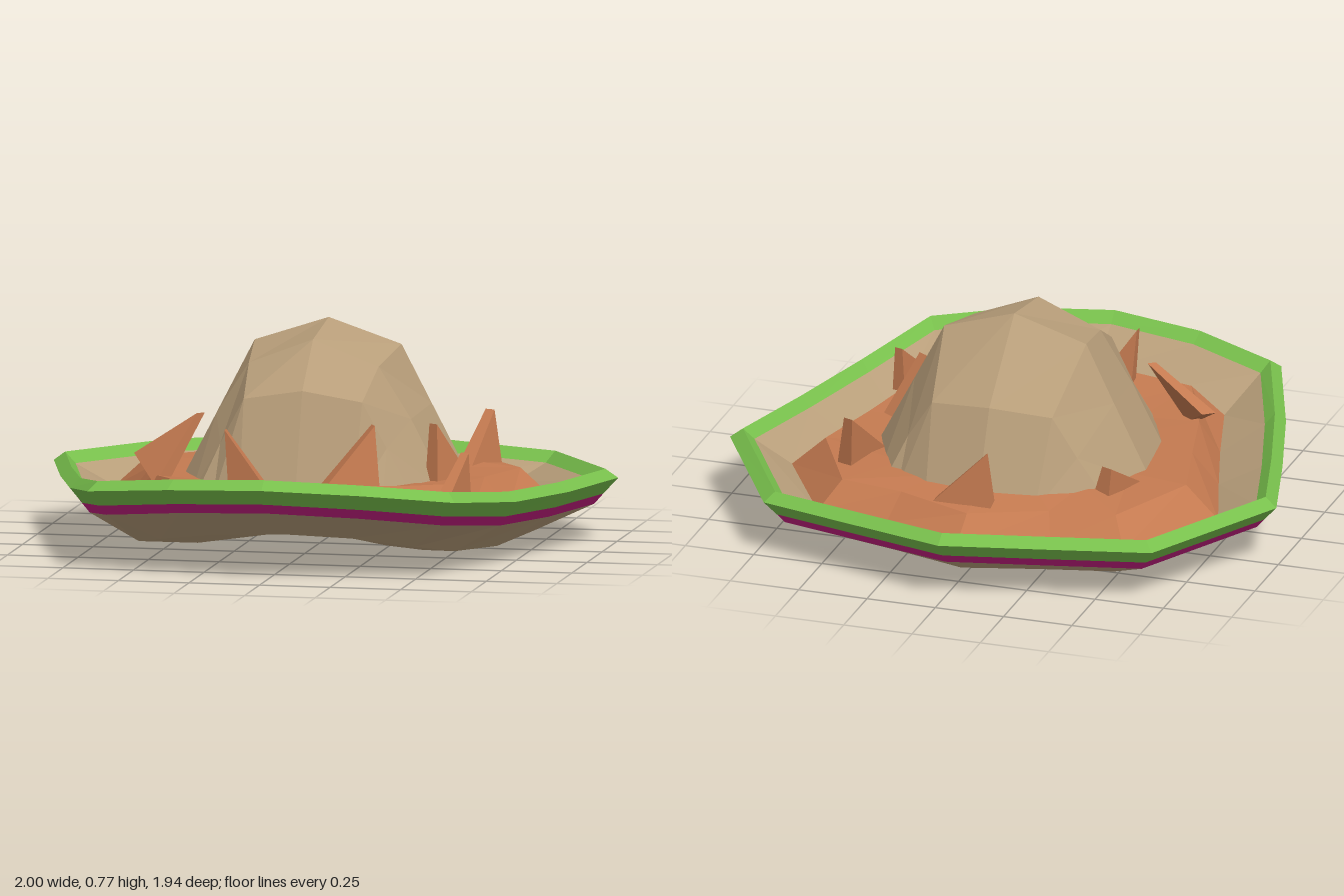
import * as THREE from 'three';
import { ConvexGeometry } from 'three/addons/geometries/ConvexGeometry.js';

const paint = (name, color) => Object.assign(new THREE.MeshStandardMaterial({ color }), { name });

// Joins successive rows of points with flat facets
function loft(rows, closed) {
  const pos = [];
  for (let i = 0; i + 1 < rows.length; i++) {
    const a = rows[i], b = rows[i + 1], n = a.length;
    for (let j = 0; j < (closed ? n : n - 1); j++) {
      const k = (j + 1) % n;
      pos.push(...a[j], ...b[j], ...a[k], ...a[k], ...b[j], ...b[k]);
    }
  }
  const g = new THREE.BufferGeometry();
  g.setAttribute('position', new THREE.Float32BufferAttribute(pos, 3));
  g.computeVertexNormals();
  return g;
}

const flip = ([x, y, z]) => [-x, y, z];
// Half outline from back to front along +x, mirrored into a closed loop
const ring = half => [...half, ...half.slice(1, -1).reverse().map(flip)];
// Half row from the centre line outwards, mirrored into a full row
const row = half => [...half.slice(1).reverse().map(flip), ...half];
const inset = (loop, s, dy) => loop.map(([x, y, z]) => [x * s, y + dy, z * s]);

export function createModel() {
  const hat = new THREE.Group();
  hat.name = 'hat';
  const felt = paint('tan felt', 0xb89e7a);
  const cloth = paint('rust cloth', 0xc47a50);
  const green = paint('green trim', 0x78c04c);
  const pink = paint('magenta stripe', 0xc41e80);
  const add = (name, geometry, material, parent = hat) => {
    const m = new THREE.Mesh(geometry, material);
    m.name = name;
    parent.add(m);
  };

  // Widest edge of the brim, and the trim rings derived from it
  const edge = ring([[0, 0.22, -0.97], [0.355, 0.212, -0.865], [0.71, 0.205, -0.76], [1, 0.22, -0.27],
    [0.9, 0.22, 0.09], [0.79, 0.235, 0.45], [0.65, 0.28, 0.81], [0.345, 0.31, 0.92], [0, 0.325, 0.97]]);
  const ridge = inset(edge, 0.957, 0.032);
  const lip = inset(edge, 0.918, -0.006);
  const trimBottom = inset(edge, 0.95, -0.055);
  const stripeBottom = inset(edge, 0.92, -0.09);

  // Underside of the brim, hollowed upwards towards the front
  const underOuter = ring([[0, 0.04, -0.72], [0.26, 0.038, -0.64], [0.51, 0.035, -0.57], [0.7, 0.025, -0.27],
    [0.65, 0.025, 0.1], [0.56, 0.045, 0.38], [0.45, 0.08, 0.54], [0.24, 0.11, 0.59], [0, 0.122, 0.62]]);
  const underInner = ring([[0, 0.03, -0.4], [0.15, 0.025, -0.37], [0.3, 0.012, -0.34], [0.45, 0, -0.2],
    [0.45, 0, 0], [0.4, 0.01, 0.15], [0.3, 0.045, 0.3], [0.15, 0.08, 0.35], [0, 0.1, 0.38]]);
  const underCentre = edge.map(() => [0, 0.045, -0.05]);

  // Upper brim down to the foot of the band
  const foot = ring([[0, 0.14, -0.78], [0.3, 0.14, -0.645], [0.56, 0.14, -0.62], [0.78, 0.14, -0.25],
    [0.68, 0.14, 0.05], [0.6, 0.15, 0.3], [0.52, 0.17, 0.58], [0.25, 0.2, 0.64], [0, 0.21, 0.71]]);
  const floor = edge.map(() => [0, 0.12, -0.05]);

  add('brimUnderside', loft([underCentre, underInner, underOuter, stripeBottom], true), felt);
  add('brimStripe', loft([stripeBottom, trimBottom], true), pink);
  add('brimTrim', loft([trimBottom, edge, ridge, lip], true), green);
  add('brimTop', loft([lip, foot, floor], true), felt);

  // Rough cloth band around the crown
  const bandTop = ring([[0, 0.22, -0.66], [0.27, 0.23, -0.57], [0.5, 0.23, -0.53], [0.66, 0.25, -0.24],
    [0.59, 0.255, 0.03], [0.53, 0.265, 0.28], [0.42, 0.29, 0.52], [0.2, 0.29, 0.57], [0, 0.3, 0.61]]);
  const bandInner = ring([[0, 0.26, -0.5], [0.18, 0.26, -0.46], [0.33, 0.26, -0.38], [0.44, 0.25, -0.2],
    [0.44, 0.25, 0.02], [0.38, 0.25, 0.18], [0.31, 0.25, 0.29], [0.17, 0.25, 0.34], [0, 0.25, 0.36]]);
  add('band', loft([foot, bandTop, bandInner], true), cloth);

  // Faceted crown: rows run from back to front
  const crownRows = [
    [[0, 0.2, -0.555], [0.2, 0.2, -0.52], [0.32, 0.2, -0.46], [0.38, 0.2, -0.44]],
    [[0, 0.52, -0.42], [0.22, 0.5, -0.39], [0.31, 0.36, -0.385], [0.42, 0.2, -0.37]],
    [[0, 0.77, -0.15], [0.26, 0.685, -0.14], [0.365, 0.48, -0.15], [0.51, 0.2, -0.16]],
    [[0, 0.73, 0.11], [0.23, 0.64, 0.1], [0.345, 0.46, 0.1], [0.48, 0.2, 0.1]],
    [[0, 0.575, 0.29], [0.21, 0.54, 0.28], [0.295, 0.38, 0.27], [0.395, 0.2, 0.28]],
    [[0, 0.2, 0.415], [0.2, 0.2, 0.405], [0.3, 0.2, 0.365], [0.37, 0.2, 0.335]],
  ];
  add('crown', loft(crownRows.map(row), false), felt);

  // Torn shards standing up from the band: two foot points, a peak and a thickness
  const shards = new THREE.Group();
  shards.name = 'shards';
  hat.add(shards);
  [
    [[-0.07, 0.23, -0.59], [0.14, 0.23, -0.59], [-0.04, 0.41, -0.57], 0.05],
    [[-0.48, 0.22, -0.2], [-0.4, 0.22, -0.4], [-0.42, 0.34, -0.39], 0.07],
    [[-0.59, 0.33, 0.21], [-0.49, 0.24, 0.34], [-0.37, 0.48, 0.24], 0.05],
    [[-0.21, 0.26, 0.51], [-0.08, 0.27, 0.51], [-0.22, 0.47, 0.535], 0.05],
    [[0.1, 0.26, 0.45], [0.28, 0.26, 0.36], [0.26, 0.47, 0.33], 0.07],
    [[0.43, 0.24, 0.16], [0.52, 0.24, 0.01], [0.43, 0.45, 0.13], 0.06],
    [[0.46, 0.24, -0.23], [0.53, 0.24, -0.42], [0.51, 0.42, -0.44], 0.06],
    [[0.53, 0.22, 0.5], [0.58, 0.22, 0.31], [0.58, 0.38, 0.31], 0.05],
  ].forEach(([a, b, peak, w]) => {
    const side = new THREE.Vector3(b[2] - a[2], 0, a[0] - b[0]).setLength(w / 2);
    const corners = [a, b, peak].flatMap(p => [1, -1].map(s =>
      new THREE.Vector3(...p).addScaledVector(side, p === peak ? s * 0.6 : s)));
    add('shard', new ConvexGeometry(corners), cloth, shards);
  });
  return hat;
}
